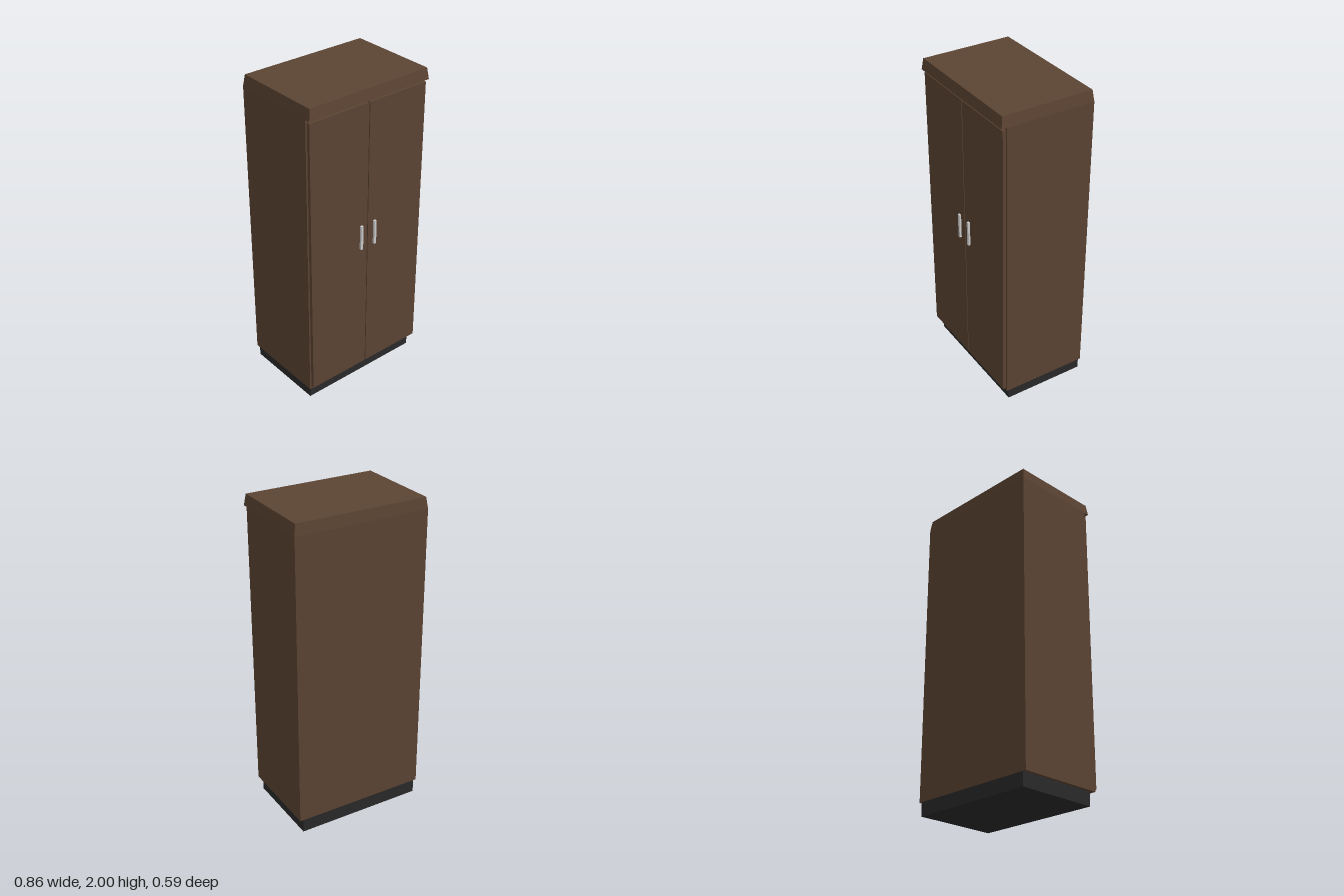
import * as THREE from 'three';

export function createModel() {
  const model = new THREE.Group();
  model.name = 'cabinet';
  const wood = new THREE.MeshStandardMaterial({ color: 0x5c4433 });
  const dark = new THREE.MeshStandardMaterial({ color: 0x2a2a2a });
  const metal = new THREE.MeshStandardMaterial({ color: 0xcccccc });

  // Box given by its minimum and maximum corners
  function box(name, material, [x0, y0, z0], [x1, y1, z1]) {
    const geometry = new THREE.BoxGeometry(x1 - x0, y1 - y0, z1 - z0);
    const mesh = new THREE.Mesh(geometry, material);
    mesh.position.set((x0 + x1) / 2, (y0 + y1) / 2, (z0 + z1) / 2);
    mesh.name = name;
    model.add(mesh);
    return mesh;
  }

  // Recessed plinth and main carcass
  box('plinth', dark, [-0.41, 0, -0.295], [0.41, 0.085, 0.237]);
  box('carcass', wood, [-0.43, 0.085, -0.295], [0.43, 1.93, 0.263]);

  // Overhanging top, its upper edge drawn in on all four sides
  const top = box('top', wood, [-0.43, 1.93, -0.295], [0.43, 2, 0.297]);
  const p = top.geometry.attributes.position;
  for (let i = 0; i < p.count; i++) {
    if (p.getY(i) > 0) {
      p.setX(i, p.getX(i) - Math.sign(p.getX(i)) * 0.01);
      p.setZ(i, p.getZ(i) - Math.sign(p.getZ(i)) * 0.009);
    }
  }
  top.geometry = top.geometry.toNonIndexed();
  top.geometry.computeVertexNormals();

  // Mirrored doors with upright bar handles
  for (const [side, s] of [['left', 1], ['right', -1]]) {
    const door = box(side + 'Door', wood, [0.003, 0.105, 0.263], [0.42, 1.912, 0.284]);
    const handle = box(side + 'Handle', metal, [0.043, 0.98, 0.284], [0.059, 1.14, 0.297]);
    door.position.x *= s;
    handle.position.x *= s;
  }
  return model;
}
